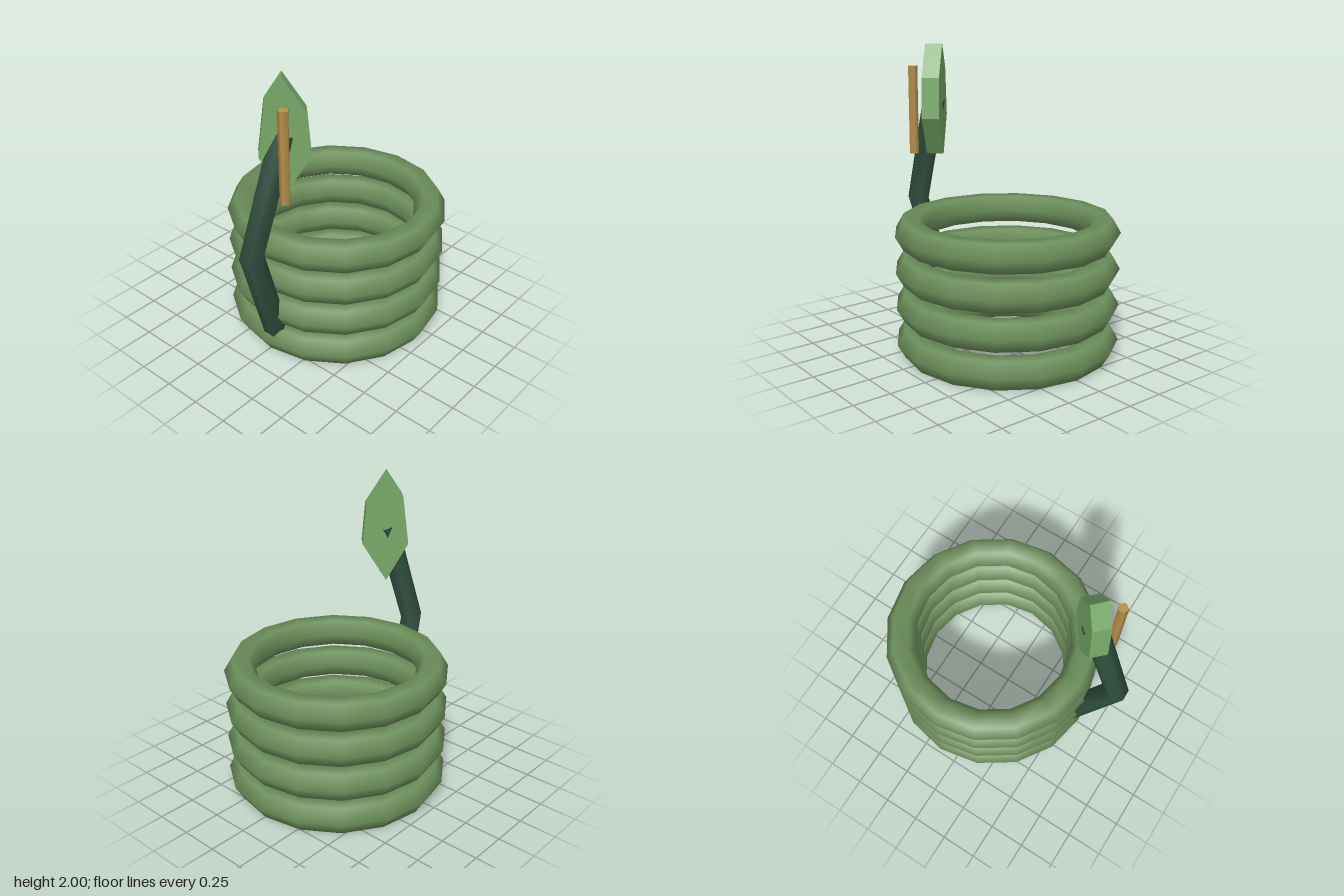
import * as THREE from 'three';

const mat = (name, color) => {
  const m = new THREE.MeshStandardMaterial({ color });
  m.name = name;
  return m;
};

export function createModel() {
  const group = new THREE.Group();
  const coilGreen = mat('coil green', 0x6b8e5a);
  const stemGreen = mat('dark stem green', 0x2f4f3f);
  const leafGreen = mat('leaf green', 0x77a868);
  const brass = mat('brass', 0xb8904c);
  stemGreen.side = THREE.DoubleSide;

  const add = (name, geometry, material, x, y, z) => {
    const mesh = new THREE.Mesh(geometry, material);
    mesh.name = name;
    mesh.position.set(x, y, z);
    group.add(mesh);
    return mesh;
  };

  // Four stacked hose loops
  const ring = new THREE.TorusGeometry(0.635, 0.105, 6, 16).rotateX(Math.PI / 2);
  for (let i = 0; i < 4; i++) {
    add('coil' + (i + 1), ring, coilGreen, 0.118, 0.091 + i * 0.243, 0);
  }

  // Bent, open-ended stem
  const path = new THREE.CatmullRomCurve3([
    new THREE.Vector3(-0.525, 0.155, 0.01),
    new THREE.Vector3(-0.79, 0.88, 0.09),
    new THREE.Vector3(-0.525, 1.635, 0.122),
  ]);
  add('stem', new THREE.TubeGeometry(path, 2, 0.08, 6), stemGreen, 0, 0, 0);

  // Thick pointed plate, turned 45 degrees
  const outline = new THREE.Shape([
    [0, 1.25], [0.163, 1.51], [0.14, 1.78], [0, 2], [-0.106, 1.84], [-0.148, 1.51],
  ].map(([x, y]) => new THREE.Vector2(x, y)));
  const plate = new THREE.ExtrudeGeometry(outline, { depth: 0.117, bevelEnabled: false });
  add('leafPlate', plate, leafGreen, -0.479, 0, 0.081).rotation.y = -Math.PI / 4;

  // Thin upright rod
  add('rod', new THREE.CylinderGeometry(0.034, 0.034, 0.6, 5), brass, -0.627, 1.55, 0.227);

  return group;
}
